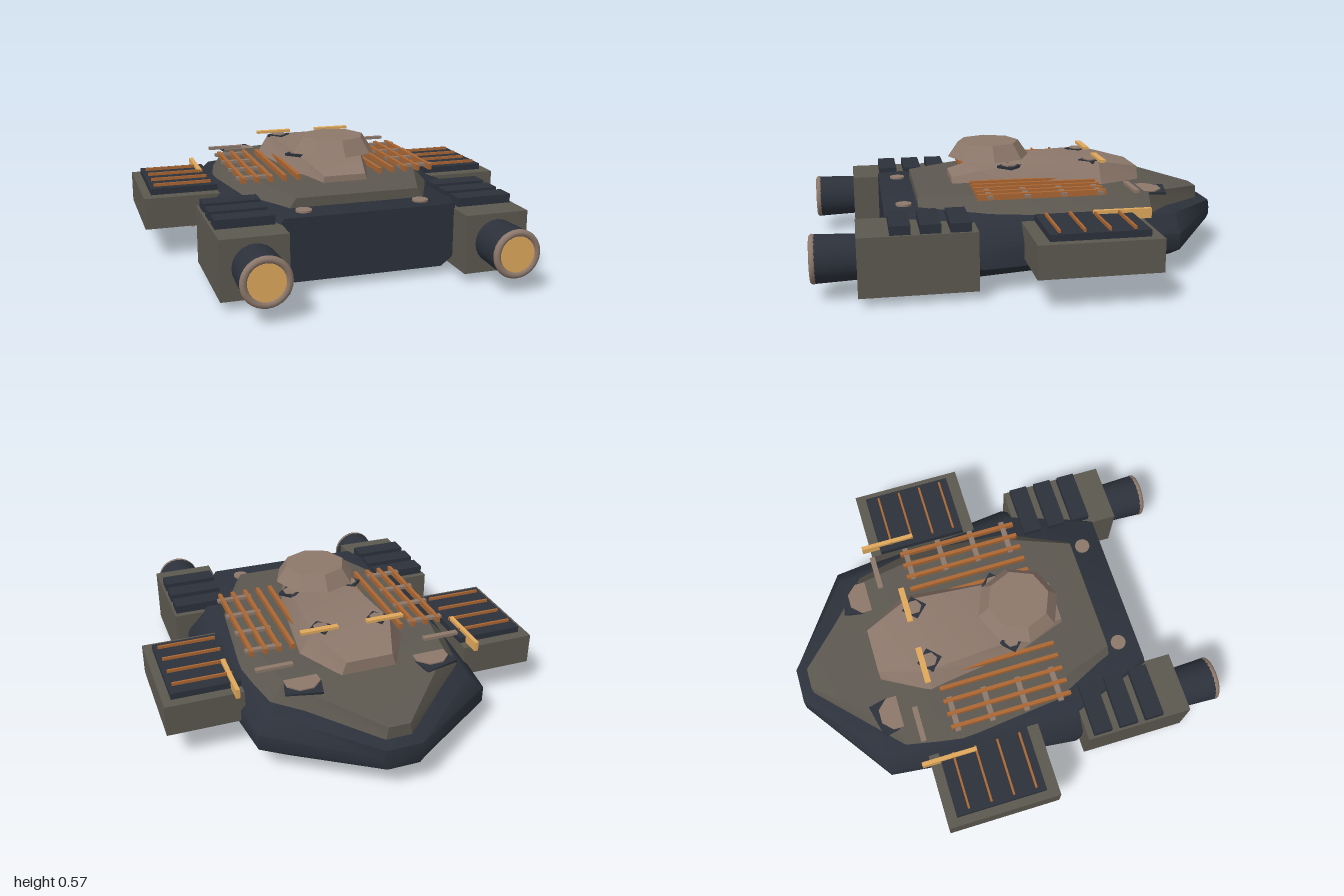
import * as THREE from 'three';
import { toCreasedNormals } from 'three/addons/utils/BufferGeometryUtils.js';

const mat = (color, flatShading = false) => new THREE.MeshStandardMaterial({ color, flatShading });
const dark = mat(0x2c313b), grey = mat(0x5c5850), tan = mat(0x8d786b), tanFlat = mat(0x8d786b, true);
const orange = mat(0xab6632), gold = mat(0xe0a95c);

// Skin between cross-sections running along z; each is [z, [x, y] points counter-clockwise]
function loft(sections, crease) {
  const n = sections[0][1].length, pos = [], idx = [];
  for (const [z, pts] of sections) for (const [x, y] of pts) pos.push(x, y, z);
  for (let i = 0; i < sections.length - 1; i++) {
    for (let j = 0; j < n; j++) {
      const a = i * n + j, b = i * n + (j + 1) % n;
      idx.push(a, b, b + n, a, b + n, a + n);
    }
  }
  const last = (sections.length - 1) * n;
  for (let j = 1; j < n - 1; j++) idx.push(0, j + 1, j, last, last + j, last + j + 1);
  const g = new THREE.BufferGeometry();
  g.setAttribute('position', new THREE.Float32BufferAttribute(pos, 3));
  g.setIndex(idx);
  return toCreasedNormals(g, crease);
}

// Symmetric cross-section from its right half, listed bottom to top
const mirrored = half => [...half, ...half.map(([x, y]) => [-x, y]).reverse()];

export function createModel() {
  const model = new THREE.Group();

  const add = (name, geometry, material, x = 0, y = 0, z = 0) => {
    const m = new THREE.Mesh(geometry, material);
    m.name = name;
    m.position.set(x, y, z);
    model.add(m);
    return m;
  };
  // Box given by its limits
  const box = (name, material, x0, x1, y0, y1, z0, z1) =>
    add(name, new THREE.BoxGeometry(Math.abs(x1 - x0), y1 - y0, z1 - z0), material,
      (x0 + x1) / 2, (y0 + y1) / 2, (z0 + z1) / 2);
  const disc = (name, material, r, h, sides, x, y, z, turn = 0) => {
    const m = add(name, new THREE.CylinderGeometry(r, r, h, sides), material, x, y, z);
    m.rotation.y = turn;
    return m;
  };

  // Main hull: [z, half width, bottom, top]
  const hull = [[-1, 0.1, 0.13, 0.23], [-0.68, 0.545, 0.06, 0.28], [0.25, 0.645, 0.03, 0.32], [0.67, 0.46, 0.04, 0.33]];
  add('hull', loft(hull.map(([z, w, b, t]) => {
    const h = t - b;
    return [z, mirrored([[w * 0.75, b], [w, b + h * 0.3], [w, b + h * 0.65], [w * 0.85, t]])];
  }), 0.95), dark);

  // Upper deck and turret base: [z, bottom half width, top half width, bottom, top]
  const tier = ([z, wb, wt, b, t]) => [z, mirrored([[wb, b], [wt, t]])];
  add('deck', loft([
    [-0.94, 0.06, 0.05, 0.24, 0.30], [-0.57, 0.46, 0.39, 0.28, 0.37], [-0.3, 0.51, 0.43, 0.3, 0.385],
    [0.2, 0.48, 0.40, 0.3, 0.388], [0.51, 0.33, 0.29, 0.31, 0.37],
  ].map(tier), 0.5), grey);
  add('turretBase', loft([
    [-0.6, 0.13, 0.11, 0.37, 0.43], [-0.38, 0.26, 0.19, 0.37, 0.48],
    [0.1, 0.2, 0.155, 0.37, 0.465], [0.33, 0.11, 0.1, 0.37, 0.41],
  ].map(tier), 0.5), tan);

  // Raised eight-sided cupola
  add('cupola', new THREE.CylinderGeometry(0.15, 0.2, 0.073, 8), tanFlat, 0, 0.529, 0.135);

  // Keel bar under the hull
  box('keelBar', tan, -0.36, 0.36, 0, 0.045, 0.035, 0.135);

  for (const s of [1, -1]) {
    // Front engine pod with cooling slats
    box('enginePod', grey, s * 0.4, s * 0.697, 0.04, 0.308, 0.28, 0.8);
    for (const z of [0.31, 0.44, 0.57]) box('podSlat', dark, s * 0.425, s * 0.685, 0.3, 0.348, z, z + 0.09);

    // Nozzle with rim and glowing disc
    add('nozzle', new THREE.CylinderGeometry(0.108, 0.1, 0.2, 24), dark, s * 0.547, 0.18, 0.885).rotation.x = Math.PI / 2;
    add('nozzleRim', new THREE.TorusGeometry(0.094, 0.016, 10, 32), tan, s * 0.547, 0.18, 0.984);
    add('nozzleGlow', new THREE.CylinderGeometry(0.08, 0.08, 0.01, 24), gold, s * 0.547, 0.18, 0.988).rotation.x = Math.PI / 2;

    // Side pod with dark panel and stripes
    box('sidePod', grey, s * 0.545, s * 0.905, 0.15, 0.3, -0.48, 0.07);
    box('podPanel', dark, s * 0.545, s * 0.865, 0.3, 0.33, -0.43, 0.01);
    for (const z of [-0.365, -0.255, -0.145, -0.035]) box('panelStripe', orange, s * 0.57, s * 0.845, 0.328, 0.344, z - 0.005, z + 0.005);
    box('podFin', gold, s * 0.575, s * 0.595, 0.3, 0.346, -0.52, -0.25);

    // Side port half hidden by the pod
    add('sidePort', new THREE.CylinderGeometry(0.06, 0.06, 0.12, 24), tan, s * 0.59, 0.155, -0.18).rotation.z = Math.PI / 2;
    add('sidePortRing', new THREE.TorusGeometry(0.074, 0.012, 8, 28), gold, s * 0.645, 0.155, -0.18).rotation.y = Math.PI / 2;

    // Deck rack: long rails over cross bars
    for (const x of [0.205, 0.27, 0.337, 0.402, 0.467]) box('rackRail', orange, s * (x - 0.009), s * (x + 0.009), 0.385, 0.412, -0.34, 0.255);
    for (const z of [-0.48, -0.31, -0.14, 0.03, 0.2]) box('rackCrossBar', tan, s * 0.32, s * 0.493, 0.393, 0.407, z - 0.013, z + 0.013);

    // Gold strip above the turret base
    box('turretStrip', gold, s * 0.07, s * 0.25, 0.485, 0.498, -0.4, -0.372);

    // Diamond-framed hatches on the turret base
    for (const [x, y, z] of [[0.14, 0.476, -0.35], [0.155, 0.464, 0.055]]) {
      disc('hatchFrame', dark, 0.06, 0.012, 4, s * x, y, z);
      disc('hatchCap', tan, 0.037, 0.012, 6, s * x, y + 0.005, z);
    }

    // Rear vents standing out of the sloping deck
    disc('rearVentFrame', dark, 0.118, 0.01, 4, s * 0.31, 0.36, -0.59, s * 0.55);
    disc('rearVentCap', tan, 0.085, 0.012, 8, s * 0.31, 0.365, -0.57, Math.PI / 8);

    // Round caps on the front of the hull and discs below it
    disc('frontCap', tan, 0.037, 0.02, 16, s * 0.275, 0.327, 0.575);
    disc('bellyDisc', tan, 0.075, 0.03, 24, s * 0.3, 0.05, -0.2);
  }

  return model;
}
